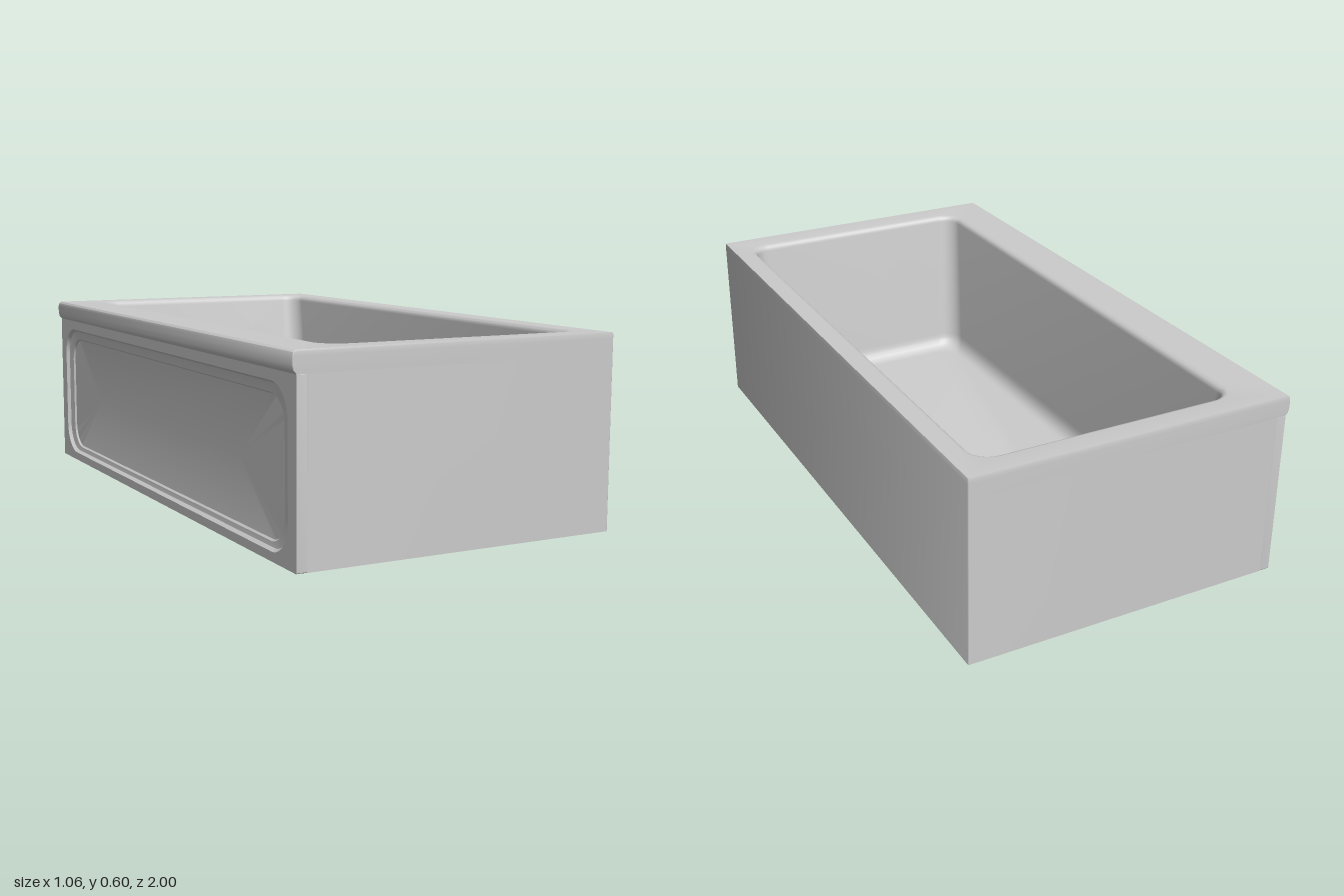
import * as THREE from 'three';
import { toCreasedNormals } from 'three/addons/utils/BufferGeometryUtils.js';

const CORNER = 8; // segments per rounded corner

// Rounded rectangle at height y, counter-clockwise seen from above
function loop([x0, x1, z0, z1, r, y]) {
  const corners = [[x1 - r, z0 + r], [x0 + r, z0 + r], [x0 + r, z1 - r], [x1 - r, z1 - r]];
  const pts = [];
  corners.forEach(([cx, cz], q) => {
    for (let i = 0; i <= CORNER; i++) {
      const a = (q + i / CORNER) * Math.PI / 2;
      pts.push([cx + r * Math.cos(a), y, cz - r * Math.sin(a)]);
    }
  });
  return pts;
}

// Skin through successive rounded rectangles, keeping hard edges sharp
function loft(sections, crease = 0.6) {
  const rings = sections.map(loop);
  const n = rings[0].length;
  const index = [];
  for (let s = 0; s < rings.length - 1; s++) {
    for (let i = 0; i < n; i++) {
      const j = (i + 1) % n;
      const a = s * n + i, b = s * n + j, c = a + n, d = b + n;
      index.push(a, b, d, a, d, c);
    }
  }
  const geo = new THREE.BufferGeometry();
  geo.setAttribute('position', new THREE.Float32BufferAttribute(rings.flat(2), 3));
  geo.setIndex(index);
  return toCreasedNormals(geo, crease);
}

export function createModel() {
  const group = new THREE.Group();
  const grey = new THREE.MeshStandardMaterial({ color: 0xcccccc });
  const add = (name, geo, parent = group) => {
    const mesh = new THREE.Mesh(geo, grey);
    mesh.name = name;
    parent.add(mesh);
    return mesh;
  };

  // Drain position and a circular section around it
  const dx = 0.05, dz = -0.69;
  const drainLoop = (r, y) => [dx - r, dx + r, dz - r, dz + r, r, y];
  const outer = (x0, y, inset = 0) =>
    [x0, 0.532 - inset, -1 + inset, 1 - inset, 0.003, y];

  // Tub shell: underside, outer walls, lip, rim, basin, floor, drain hole
  const sections = [
    drainLoop(0.04, 0),
    outer(-0.49, 0),
    outer(-0.49, 0.535),
    outer(-0.52, 0.535),
    outer(-0.529, 0.545),
    outer(-0.532, 0.56),
    outer(-0.532, 0.583),
    outer(-0.529, 0.594),
    outer(-0.522, 0.6, 0.001),
  ];
  // Rounded edge between rim and basin
  for (let i = 0; i <= 5; i++) {
    const a = (i / 5) * Math.PI / 2, k = 0.02 * (1 - Math.sin(a));
    sections.push([-0.375 - k, 0.457 + k, -0.912 - k, 0.9 + k, 0.06 + k,
      0.58 + 0.02 * Math.cos(a)]);
  }
  // Sloping basin walls ending in a rounded floor edge
  for (let i = 0; i <= 6; i++) {
    const a = (i / 6) * Math.PI / 2;
    const s = 1 - Math.cos(a), y = 0.125 - 0.057 * Math.sin(a);
    sections.push([-0.35 + 0.04 * s, 0.443 - 0.038 * s, -0.83 + 0.05 * s,
      0.84 - 0.05 * s, 0.07, y]);
  }
  sections.push(drainLoop(0.06, 0.06), drainLoop(0.045, 0.056),
    drainLoop(0.04, 0.05), drainLoop(0.04, 0));
  add('tubShell', loft(sections));

  // Apron on the right side, with a sunken panel behind a stepped border
  const apron = loft([
    [0, 0.537, -1, 1, 0.003, 0.488],
    [0, 0.537, -1, 1, 0.003, 0.52],
    [0.028, 0.503, -0.95, 0.95, 0.1, 0.52],
    [0.036, 0.495, -0.942, 0.942, 0.095, 0.509],
    [0.05, 0.467, -0.905, 0.905, 0.085, 0.506],
    [0.055, 0.462, -0.9, 0.9, 0.08, 0.5],
    [0.255, 0.255, -0.6, 0.6, 0, 0.5],
  ]);
  apron.rotateZ(Math.PI / 2);
  add('apronPanel', apron);

  // Drain fitting: flange, cross bars and a circle of small studs
  const drain = new THREE.Group();
  drain.name = 'drain';
  drain.position.set(dx, 0.06, dz);
  group.add(drain);
  const flange = add('drainFlange', new THREE.TorusGeometry(0.046, 0.009, 8, 32), drain);
  flange.rotation.x = Math.PI / 2;
  flange.scale.z = 0.6;
  for (const turn of [0, Math.PI / 2]) {
    const bar = add('drainBar', new THREE.BoxGeometry(0.084, 0.008, 0.011), drain);
    bar.position.y = -0.035;
    bar.rotation.y = turn;
  }
  for (let i = 0; i < 12; i++) {
    const a = (i / 12) * Math.PI * 2;
    const stud = add('drainStud', new THREE.CylinderGeometry(0.003, 0.003, 0.006, 8), drain);
    stud.position.set(0.064 * Math.cos(a), 0.002, 0.064 * Math.sin(a));
  }
  return group;
}
